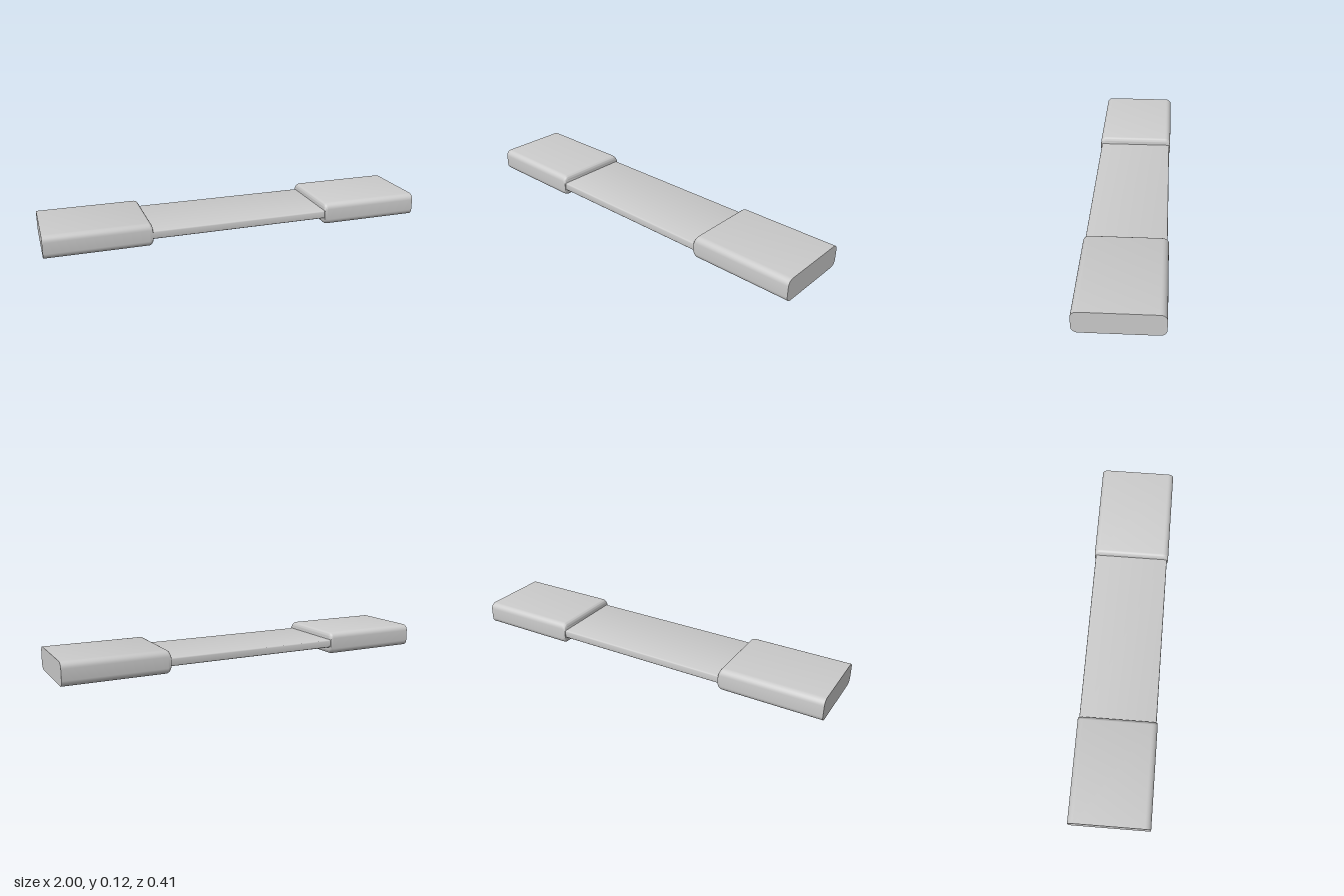
import * as THREE from 'three';
import { toCreasedNormals } from 'three/addons/utils/BufferGeometryUtils.js';

const MID_Y = 0.059;

// Rounded rectangle outline in (z, y), counter-clockwise seen from +x with z to the left
function outline(halfZ, halfY, radius, steps) {
  const points = [];
  const corners = [[1, 1], [-1, 1], [-1, -1], [1, -1]];
  corners.forEach(([sz, sy], corner) => {
    for (let i = 0; i <= steps; i++) {
      const a = (corner + i / steps) * Math.PI / 2;
      points.push([
        sz * (halfZ - radius) + radius * Math.cos(a),
        sy * (halfY - radius) + radius * Math.sin(a),
      ]);
    }
  });
  return points;
}

// Joins outlines along x (ascending) and caps both ends
function loft(sections) {
  const positions = [];
  const index = [];
  const n = sections[0].points.length;
  sections.forEach(({ x, points }) => points.forEach(([z, y]) => positions.push(x, y, z)));
  for (let s = 0; s < sections.length - 1; s++) {
    for (let i = 0; i < n; i++) {
      const a = s * n + i, b = s * n + (i + 1) % n;
      index.push(a, a + n, b, b, a + n, b + n);
    }
  }
  const last = (sections.length - 1) * n;
  for (let i = 1; i < n - 1; i++) {
    index.push(0, i, i + 1);
    index.push(last, last + i + 1, last + i);
  }
  const geometry = new THREE.BufferGeometry();
  geometry.setAttribute('position', new THREE.Float32BufferAttribute(positions, 3));
  geometry.setIndex(index);
  return toCreasedNormals(geometry, 0.6);
}

export function createModel() {
  const model = new THREE.Group();
  model.name = 'barWithEndBlocks';
  const material = new THREE.MeshStandardMaterial({ color: 0xcccccc });

  // Thin connecting bar with slightly softened long edges
  const barOutline = outline(0.2, 0.021, 0.007, 3);
  const bar = new THREE.Mesh(
    loft([{ x: -0.5, points: barOutline }, { x: 0.5, points: barOutline }]), material);
  bar.name = 'connectingBar';
  bar.position.y = MID_Y;
  model.add(bar);

  // End block: inner end rounded over top and bottom, outer end flat
  const roundOver = 0.022;
  const sections = [];
  for (let i = 0; i <= 6; i++) {
    const a = i / 6 * Math.PI / 2;
    sections.push({
      x: 0.467 + roundOver * (1 - Math.cos(a)),
      points: outline(0.206, MID_Y - roundOver * (1 - Math.sin(a)), 0.031, 6),
    });
  }
  sections.push({ x: 1, points: outline(0.206, MID_Y, 0.031, 6) });
  const blockGeometry = loft(sections);

  for (const [name, turn] of [['leftEndBlock', 0], ['rightEndBlock', Math.PI]]) {
    const block = new THREE.Mesh(blockGeometry, material);
    block.name = name;
    block.position.y = MID_Y;
    block.rotation.y = turn;
    model.add(block);
  }
  return model;
}
